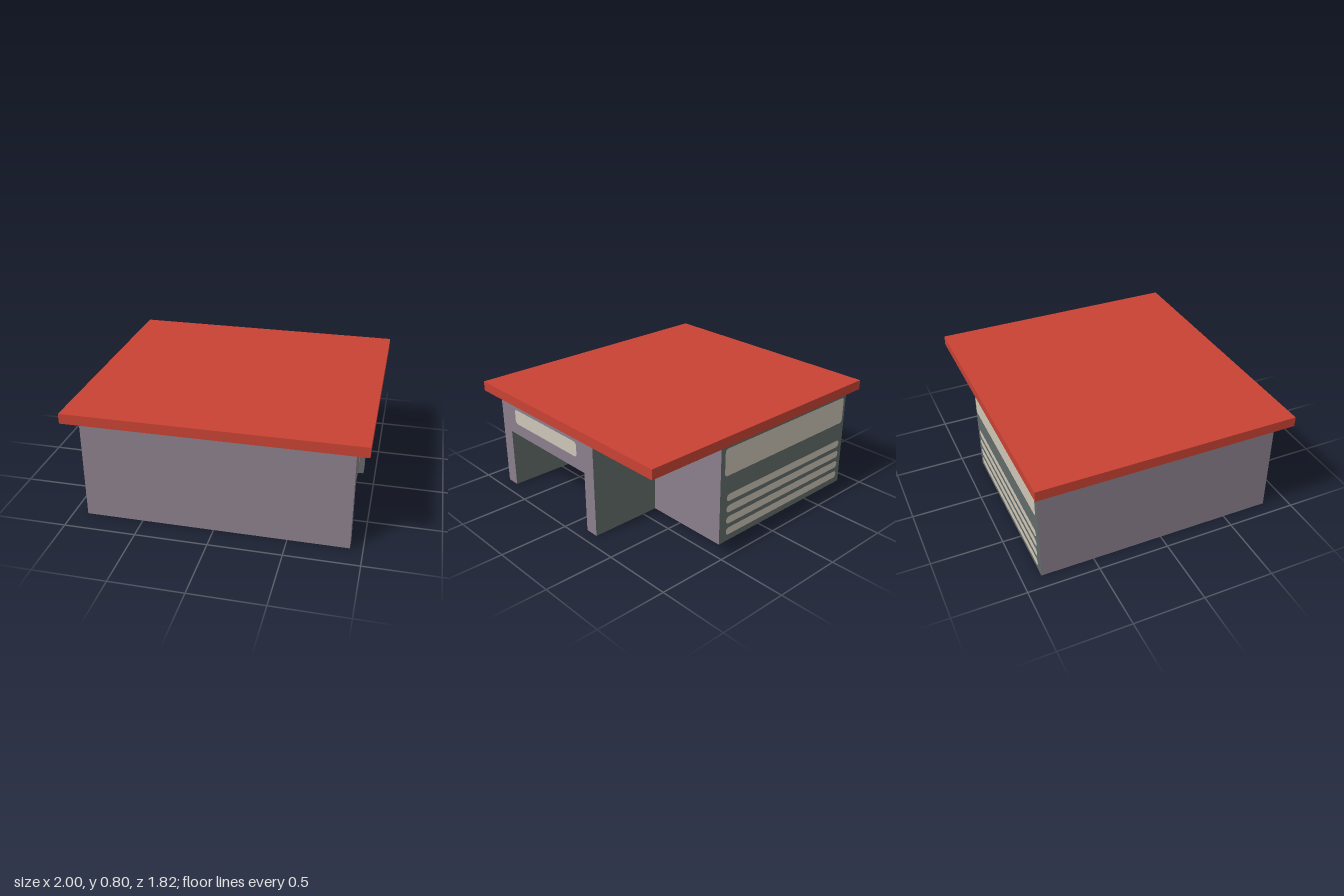
import * as THREE from 'three';

const material = (name, color, side = THREE.FrontSide) => {
  const m = new THREE.MeshStandardMaterial({ color, side });
  m.name = name;
  return m;
};

export function createModel() {
  const model = new THREE.Group();
  model.name = 'flatRoofBuilding';

  const red = material('roof red', 0xc84234);
  const mauve = material('wall mauve', 0x8b7f8c, THREE.DoubleSide);
  const green = material('panel grey green', 0x616c69, THREE.DoubleSide);
  const cream = material('sign cream', 0xcdc5b6);

  // Plan of the walls
  const left = 0.915, right = -0.9, front = 0.83, back = -0.87;
  const notchX = 0.388, notchZ = -0.24, wallTop = 0.73;
  const bay = { front: 0.73, back: -0.14, depth: 0.398, top: 0.44 };

  const add = (name, geometry, mat) => {
    const mesh = new THREE.Mesh(geometry, mat);
    mesh.name = name;
    model.add(mesh);
  };

  // Upright sheet running from (x1, z1) to (x2, z2), facing to the right of that run
  const wall = (name, mat, x1, z1, x2, z2, height = wallTop) => {
    const g = new THREE.PlaneGeometry(Math.hypot(x2 - x1, z2 - z1), height);
    g.rotateY(-Math.atan2(z2 - z1, x2 - x1));
    g.translate((x1 + x2) / 2, height / 2, (z1 + z2) / 2);
    add(name, g, mat);
  };

  // Rounded plate outline
  const plate = (x1, x2, y1, y2, r) => {
    const s = new THREE.Shape();
    s.absarc(x2 - r, y1 + r, r, -Math.PI / 2, 0);
    s.absarc(x2 - r, y2 - r, r, 0, Math.PI / 2);
    s.absarc(x1 + r, y2 - r, r, Math.PI / 2, Math.PI);
    s.absarc(x1 + r, y1 + r, r, Math.PI, Math.PI * 1.5);
    return new THREE.ShapeGeometry(s, 5);
  };

  // Roof slab
  const roof = new THREE.BoxGeometry(2, 0.07, 1.82);
  roof.translate(0, 0.765, 0);
  add('roof', roof, red);

  // Outer walls and the notch in the rear corner
  wall('frontWall', mauve, right, front, left, front);
  wall('rightWall', mauve, right, back, right, front);
  wall('notchSideWall', mauve, notchX, notchZ, notchX, back);
  wall('notchRearWall', green, left, notchZ, notchX, notchZ);
  wall('rearWall', green, notchX, back, right, back);

  // Side wall with the bay opening, drawn in (-z, y)
  const outline = new THREE.Shape([
    [-front, 0], [-bay.front, 0], [-bay.front, bay.top], [-bay.back, bay.top],
    [-bay.back, 0], [-notchZ, 0], [-notchZ, wallTop], [-front, wallTop],
  ].map(([x, y]) => new THREE.Vector2(x, y)));
  const sideWall = new THREE.ShapeGeometry(outline);
  sideWall.rotateY(Math.PI / 2).translate(left, 0, 0);
  add('bayWall', sideWall, mauve);

  // Bay lining
  wall('bayFrontLining', green, left, bay.front, bay.depth, bay.front, bay.top);
  wall('bayInnerLining', green, bay.depth, bay.front, bay.depth, bay.back, bay.top);
  wall('bayRearLining', green, bay.depth, bay.back, left, bay.back, bay.top);
  const ceiling = new THREE.PlaneGeometry(left - bay.depth, bay.front - bay.back);
  ceiling.rotateX(Math.PI / 2);
  ceiling.translate((left + bay.depth) / 2, bay.top, (bay.front + bay.back) / 2);
  add('bayCeiling', ceiling, mauve);

  // Sign above the bay
  const sign = plate(-0.655, 0.07, 0.53, 0.64, 0.025);
  sign.rotateY(Math.PI / 2).translate(left + 0.005, 0, 0);
  add('baySign', sign, cream);

  // Rear window and slats
  const rearPlate = (name, ...size) =>
    add(name, plate(...size).rotateY(Math.PI).translate(0, 0, back - 0.005), cream);
  rearPlate('rearWindow', -0.355, 0.872, 0.495, 0.692, 0.025);
  for (let i = 0; i < 4; i++) {
    const y = 0.075 + i * 0.085;
    rearPlate('rearSlat', -0.33, 0.858, y - 0.027, y + 0.027, 0.025);
  }

  return model;
}
